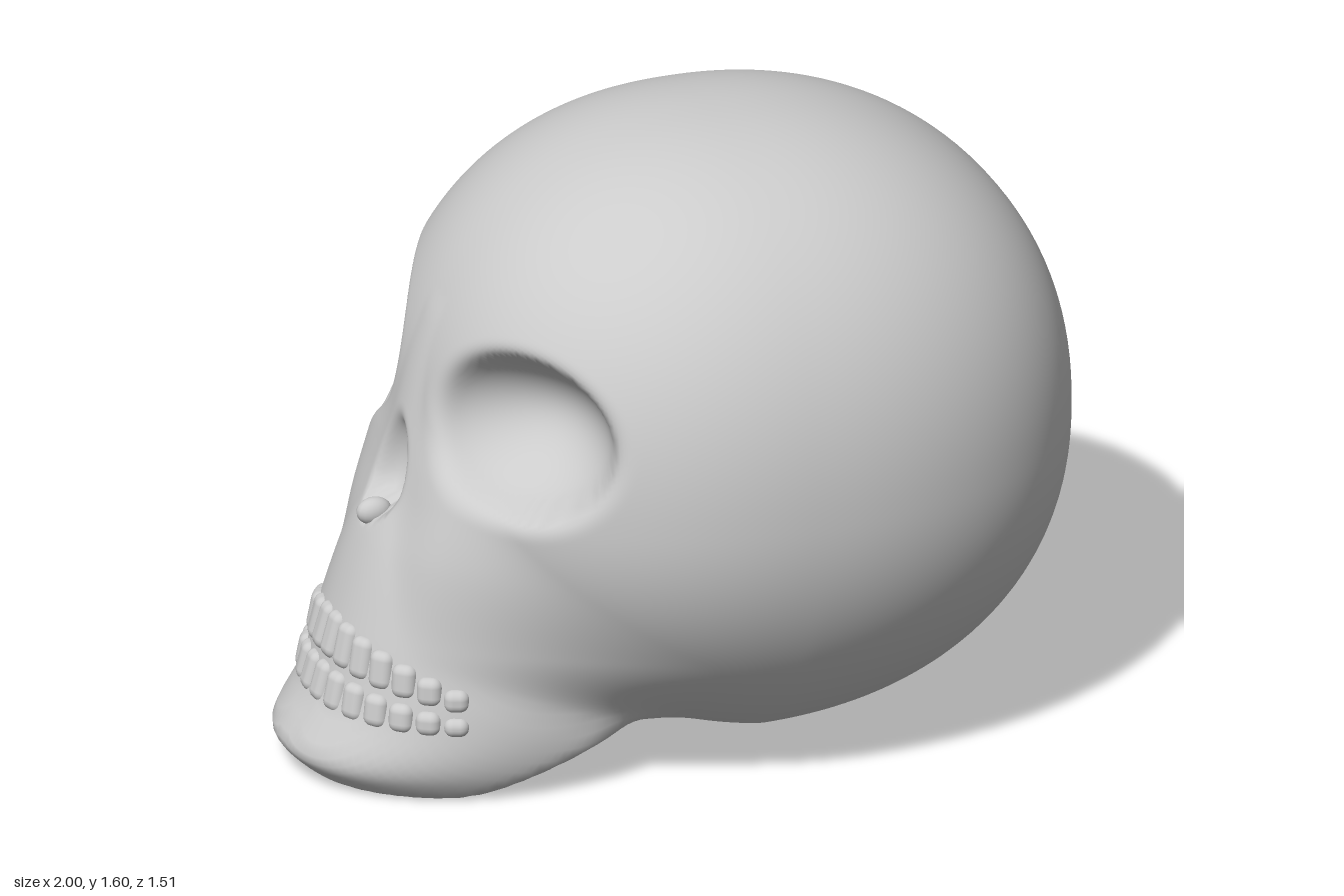
import * as THREE from 'three';
import { mergeVertices } from 'three/addons/utils/BufferGeometryUtils.js';
import { RoundedBoxGeometry } from 'three/addons/geometries/RoundedBoxGeometry.js';

const material = new THREE.MeshStandardMaterial({ color: 0xcccccc });
const { lerp, smoothstep, degToRad } = THREE.MathUtils;

// Soft blends between volumes (negative inside, positive outside)
const softMin = (a, b, k) => {
  const h = Math.max(k - Math.abs(a - b), 0) / k;
  return Math.min(a, b) - h * h * k / 4;
};
const softMax = (a, b, k) => -softMin(-a, -b, k);
const norm = (a, b, c, e) =>
  (Math.abs(a) ** e + Math.abs(b) ** e + Math.abs(c) ** e) ** (1 / e);
const oval = (x, y, z, c, r) =>
  (norm((x - c[0]) / r[0], (y - c[1]) / r[1], (z - c[2]) / r[2], 2) - 1) * Math.min(...r);

// Face outline: [front x, half width] at each height
const faceOutline = new THREE.CubicInterpolant(
  [-0.05, 0, 0.08, 0.2, 0.4, 0.6, 0.75, 0.92, 1.2],
  [-0.9, 0.32, -0.93, 0.35, -1.0, 0.39, -0.93, 0.405, -0.87, 0.37,
    -0.8, 0.32, -0.73, 0.25, -0.675, 0.15, -0.58, 0.1], 2);

// Braincase: a squarish egg with a tapered base
function cranium(x, y, z) {
  const dx = x - 0.13, dy = y - 0.8;
  const ry = dy > 0 ? 0.8 : 0.79 - 0.2 * Math.max(0, -dx);
  const rz = 0.757 * (dy < 0 ? 1 - 0.2 * dy * dy : 1);
  return (norm(dx / (dx > 0 ? 0.868 : 0.81), dy / ry, z / rz, 2.2) - 1) * 0.78;
}

// Nose bridge, upper jaw and chin: oval sections stacked upwards, cut at the base
function face(x, y, z) {
  const [front, width] = faceOutline.evaluate(y);
  const dx = x + 0.4;
  let d = (norm(dx / (dx < 0 ? -0.4 - front : 0.42), z / width, 0, 2.2) - 1) * 0.36;
  d = softMax(d, y - 1.15, 0.05);
  d = softMax(d, -0.006 - y, 0.03);
  // the lower edge rises behind the jaw, then runs level into the skull base
  return softMax(d, (Math.min(0.42 * (x + 0.6), 0.165) - y) * 0.92, 0.04);
}

// Eye socket: an oval hollow facing out and forwards, flaring towards its rim
function socket(x, y, z) {
  const dx = x + 0.54, dz = Math.abs(z) - 0.385;
  const along = dx * 0.58 + dz * 0.82, depth = dx * -0.82 + dz * 0.58;
  const flare = Math.max(0.3, 1 + 1.2 * depth);
  return (norm(along / (0.285 * flare), (y - 0.99) / (0.2 * flare), depth / 0.21, 2) - 1) * 0.2;
}

function skullVolume(x, y, z) {
  // the cheeks melt into the braincase, the chin and brow stay distinct
  const cheek = smoothstep(y, 0.1, 0.4) * smoothstep(Math.abs(z), 0.05, 0.3)
    * (1 - smoothstep(y, 0.8, 1.05));
  let d = softMin(cranium(x, y, z), face(x, y, z), 0.07 + 0.2 * cheek);
  d = softMax(d, -socket(x, y, z), 0.05);
  // nose opening, narrower towards the top
  const taper = 1 + Math.max(0, y - 0.72) * 2;
  d = softMax(d, -oval(x, y, z * taper, [-0.75, 0.79, 0], [0.1, 0.135, 0.09]), 0.025);
  // hollow underside of the jaw
  return softMax(d, -oval(x, y, z, [-0.5, -0.15, 0], [0.47, 0.3, 0.34]), 0.04);
}

// Outermost surface point along a ray
function surfacePoint(origin, dir, reach = 1.5) {
  const at = r => skullVolume(origin.x + dir.x * r, origin.y + dir.y * r, origin.z + dir.z * r);
  let out = reach, inside = reach, d = at(reach);
  while (d > 0 && inside > 0.02) {
    out = inside;
    inside -= Math.max(0.005, d * 0.35);
    d = at(inside);
  }
  for (let i = 0; i < 12; i++) {
    const mid = (inside + out) / 2;
    if (at(mid) > 0) out = mid; else inside = mid;
  }
  return origin.clone().addScaledVector(dir, inside);
}

function skullGeometry() {
  let geo = new THREE.IcosahedronGeometry(1, 54);
  geo.deleteAttribute('uv');
  geo.deleteAttribute('normal');
  geo = mergeVertices(geo, 1e-5);
  const pos = geo.attributes.position;
  const centre = new THREE.Vector3(-0.08, 0.9, 0), v = new THREE.Vector3();
  for (let i = 0; i < pos.count; i++) {
    v.fromBufferAttribute(pos, i);
    v.x -= 0.4; // more detail on the face
    const p = surfacePoint(centre, v.normalize());
    pos.setXYZ(i, p.x, p.y, p.z);
  }
  geo.computeVertexNormals();
  return geo;
}

// One row of teeth following the jaw, mirrored left and right
function toothRow(name, yFront, yBack, hFront, hBack) {
  const row = new THREE.Group();
  row.name = name;
  const perSide = 7;
  for (const side of [-1, 1]) {
    for (let i = 0; i < perSide; i++) {
      const t = i / (perSide - 1);
      const a = degToRad(5.3 + i * 10.8);
      const y = lerp(yFront, yBack, t ** 1.5);
      const h = lerp(hFront, hBack, t ** 1.5);
      const dir = new THREE.Vector3(-Math.cos(a), 0, side * Math.sin(a));
      const tooth = new THREE.Mesh(new RoundedBoxGeometry(0.064, h, 0.05, 3, 0.024), material);
      tooth.name = 'tooth';
      tooth.position.copy(surfacePoint(new THREE.Vector3(-0.55, y, 0), dir, 0.6));
      tooth.position.addScaledVector(dir, -0.01);
      tooth.rotation.set(-0.28 * (1 - t), Math.atan2(dir.x, dir.z), 0, 'YXZ');
      row.add(tooth);
    }
  }
  return row;
}

export function createModel() {
  const model = new THREE.Group();
  model.name = 'skull';

  const bone = new THREE.Mesh(skullGeometry(), material);
  bone.name = 'craniumAndJaw';
  model.add(bone);

  // small spur under the nose opening
  const spine = new THREE.Mesh(new THREE.SphereGeometry(1, 16, 12), material);
  spine.name = 'nasalSpine';
  spine.scale.set(0.045, 0.035, 0.03);
  spine.position.set(-0.76, 0.66, 0);
  model.add(spine);

  model.add(toothRow('upperTeeth', 0.36, 0.28, 0.12, 0.06));
  model.add(toothRow('lowerTeeth', 0.243, 0.215, 0.105, 0.05));
  return model;
}
